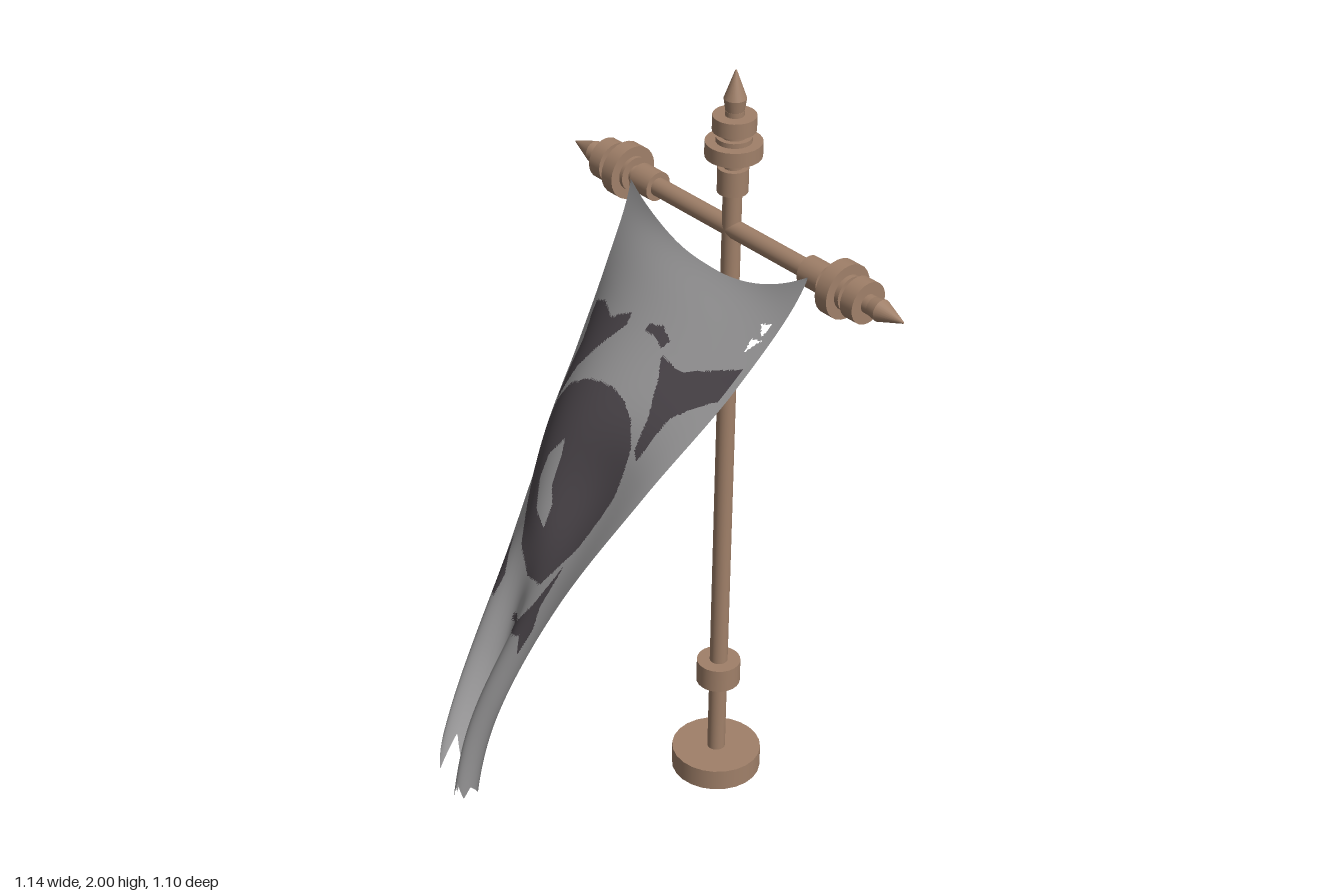
import * as THREE from 'three';

const POLE_Z = -0.427, BAR_Y = 1.595;

// Helpers
const smooth = THREE.MathUtils.smoothstep;
const pts = (list) => list.map(([x, y]) => new THREE.Vector2(x, y));
const bell = (y, centre, width) => Math.exp(-(((y - centre) / width) ** 2));

function inside(poly, x, y) {
  let hit = false;
  for (let i = 0, j = poly.length - 1; i < poly.length; j = i++) {
    const [xi, yi] = poly[i], [xj, yj] = poly[j];
    if ((yi > y) !== (yj > y) && x < ((xj - xi) * (y - yi)) / (yj - yi) + xi) hit = !hit;
  }
  return hit;
}

function stepped(list, t) {
  for (let i = 1; i < list.length; i++) {
    const [a, va] = list[i - 1], [b, vb] = list[i];
    if (t <= b) return va + ((vb - va) * (t - a)) / (b - a);
  }
  return list[list.length - 1][1];
}

// Emblem patches and torn holes, in x and y
const PATCHES = [
  // disc
  [[-.217, 1.09], [-.207, 1.165], [-.175, 1.222], [-.12, 1.258], [-.07, 1.274], [-.02, 1.28], [.03, 1.272],
    [.075, 1.248], [.112, 1.2], [.13, 1.1], [.112, .99], [.068, .9], [-.01, .872], [-.09, .897], [-.15, .965], [-.2, 1.035]],
  // upper horns
  [[-.293, 1.33], [-.25, 1.354], [-.185, 1.35], [-.122, 1.385], [-.112, 1.365], [-.155, 1.31],
    [-.195, 1.245], [-.212, 1.165], [-.226, 1.165], [-.247, 1.21], [-.256, 1.26], [-.288, 1.3]],
  [[.045, 1.365], [.12, 1.358], [.19, 1.382], [.268, 1.41], [.258, 1.345], [.2, 1.31],
    [.168, 1.28], [.145, 1.185], [.124, 1.2], [.115, 1.27], [.08, 1.33]],
  // small top arc
  [[-.048, 1.392], [-.005, 1.403], [.042, 1.39], [.032, 1.373], [-.01, 1.383], [-.045, 1.38]],
  // lower horns
  [[-.153, .88], [-.127, .855], [-.095, .833], [-.09, .79], [-.127, .78], [-.145, .82]],
  [[.106, .955], [.127, .89], [.16, .865], [.164, .818], [.127, .835], [.075, .81],
    [.01, .785], [.005, .796], [.075, .835], [.095, .875]],
];
const CRESCENT = [[-.082, 1.15], [-.115, 1.1], [-.117, 1.04], [-.085, .985], [-.032, .965],
  [-.04, 1.015], [-.066, 1.05], [-.073, 1.12]];
const HOLES = [
  [[.238, 1.485], [.266, 1.495], [.26, 1.468]],
  [[.238, 1.458], [.266, 1.463], [.243, 1.435]],
];
const isEmblem = (x, y) => !inside(CRESCENT, x, y) && PATCHES.some((p) => inside(p, x, y));

// Side edges of the cloth as (x, z), at even steps of height from 1.6 to 0.5
const LEFT = new THREE.SplineCurve(pts([[-.32, -.39], [-.32, -.305], [-.302, -.18], [-.227, .005], [-.095, .255], [.035, .485]]));
const RIGHT = new THREE.SplineCurve(pts([[.298, -.39], [.282, -.2], [.237, .035], [.204, .265], [.212, .455], [.226, .535]]));
// Torn hem: how far each strip of cloth hangs down
const HEM = [[0, .93], [.06, .98], [.1, .93], [.18, 1], [.24, .93], [.3, .98], [.36, .87], [.42, .95],
  [.5, .93], [.56, .97], [.6, .95], [.66, 1], [.7, .97], [.75, .995], [.8, .96], [.88, .99], [.92, .96], [1, .965]];

function clothPoint(u, t) {
  const top = 1.605 - .088 * (1 - Math.abs(2 * u - 1) ** 2.5);
  const y = top + (.5 - top) * t * stepped(HEM, u);
  const k = THREE.MathUtils.clamp((1.6 - y) / 1.1, 0, 1);
  const l = LEFT.getPoint(k), r = RIGHT.getPoint(k);
  const dx = r.x - l.x, dz = r.y - l.y, len = Math.hypot(dx, dz);
  const arch = Math.sin(Math.PI * u);
  // wind billow above, a sideways curl at mid height, gathered folds below
  const billow = (.092 * bell(y, 1.24, .19) - .022 * bell(y, 1.53, .06)) * arch;
  const curl = .05 * bell(y, 1.08, .18) * Math.sin(2 * Math.PI * u);
  const fold = .045 * (1 - smooth(y, .6, 1.0)) * Math.sin(Math.PI * 3 * u ** .8) * Math.sqrt(Math.max(arch, 0));
  return [l.x + dx * u - (dz / len) * fold, y, l.y + dz * u + billow + curl + (dx / len) * fold];
}

function createCloth(light, dark) {
  const nu = 130, nv = 220, pos = [], plain = [], emblem = [];
  for (let j = 0; j <= nv; j++) for (let i = 0; i <= nu; i++) pos.push(...clothPoint(i / nu, j / nv));
  const addTriangle = (...tri) => {
    const x = (pos[tri[0] * 3] + pos[tri[1] * 3] + pos[tri[2] * 3]) / 3;
    const y = (pos[tri[0] * 3 + 1] + pos[tri[1] * 3 + 1] + pos[tri[2] * 3 + 1]) / 3;
    if (HOLES.some((h) => inside(h, x, y))) return;
    (isEmblem(x, y) ? emblem : plain).push(...tri);
  };
  for (let j = 0; j < nv; j++) {
    for (let i = 0; i < nu; i++) {
      const a = j * (nu + 1) + i, b = a + nu + 1;
      addTriangle(a, b, b + 1);
      addTriangle(a, b + 1, a + 1);
    }
  }
  const geo = new THREE.BufferGeometry();
  geo.setAttribute('position', new THREE.Float32BufferAttribute(pos, 3));
  geo.setIndex([...plain, ...emblem]);
  geo.addGroup(0, plain.length, 0);
  geo.addGroup(plain.length, emblem.length, 1);
  geo.computeVertexNormals();
  const mesh = new THREE.Mesh(geo, [light, dark]);
  mesh.name = 'cloth';
  return mesh;
}

export function createModel() {
  const model = new THREE.Group();
  model.name = 'bannerStand';
  const wood = new THREE.MeshStandardMaterial({ color: 0xa08069, side: THREE.DoubleSide });
  wood.name = 'wood';
  const grey = new THREE.MeshStandardMaterial({ color: 0x9a999a, side: THREE.DoubleSide });
  grey.name = 'greyCloth';
  const dark = new THREE.MeshStandardMaterial({ color: 0x4c464b, side: THREE.DoubleSide });
  dark.name = 'darkEmblem';

  const stand = new THREE.Group();
  stand.name = 'stand';
  stand.position.z = POLE_Z;
  model.add(stand);

  // Upright turned piece from y0 to y1
  const turned = (parent, name, y0, y1, r0, r1 = r0, open = false) => {
    const mesh = new THREE.Mesh(new THREE.CylinderGeometry(r1, r0, y1 - y0, 24, 1, open), wood);
    mesh.position.y = (y0 + y1) / 2;
    mesh.name = name;
    parent.add(mesh);
    return mesh;
  };

  // Base, hollow underneath
  turned(stand, 'baseRim', 0, .058, .115, .115, true);
  const baseTop = new THREE.Mesh(new THREE.CircleGeometry(.115, 24), wood);
  baseTop.rotation.x = -Math.PI / 2;
  baseTop.position.y = .058;
  baseTop.name = 'baseTop';
  stand.add(baseTop);

  // Pole, collar and crossbar
  turned(stand, 'pole', .02, 1.9, .023);
  turned(stand, 'poleCollar', .273, .337, .056);
  const bar = turned(stand, 'crossbar', -.5, .5, .023);
  bar.rotation.z = Math.PI / 2;
  bar.position.y = BAR_Y;

  // Finial with its tip at the origin, pointing up
  const finial = (name) => {
    const g = new THREE.Group();
    g.name = name;
    turned(g, 'spike', -.07, 0, .027, .002);
    turned(g, 'spikeNeck', -.115, -.07, .02, .027);
    turned(g, 'upperRing', -.15, -.112, .052);
    turned(g, 'neck', -.166, -.15, .03);
    turned(g, 'discHub', -.225, -.166, .043);
    turned(g, 'disc', -.215, -.178, .068);
    turned(g, 'sleeve', -.308, -.245, .037);
    stand.add(g);
    return g;
  };
  finial('topFinial').position.y = 2;
  for (const s of [1, -1]) {
    const f = finial(s > 0 ? 'leftFinial' : 'rightFinial');
    f.position.set(s * .57, BAR_Y, 0);
    f.rotation.z = -s * Math.PI / 2;
  }

  model.add(createCloth(grey, dark));
  return model;
}
